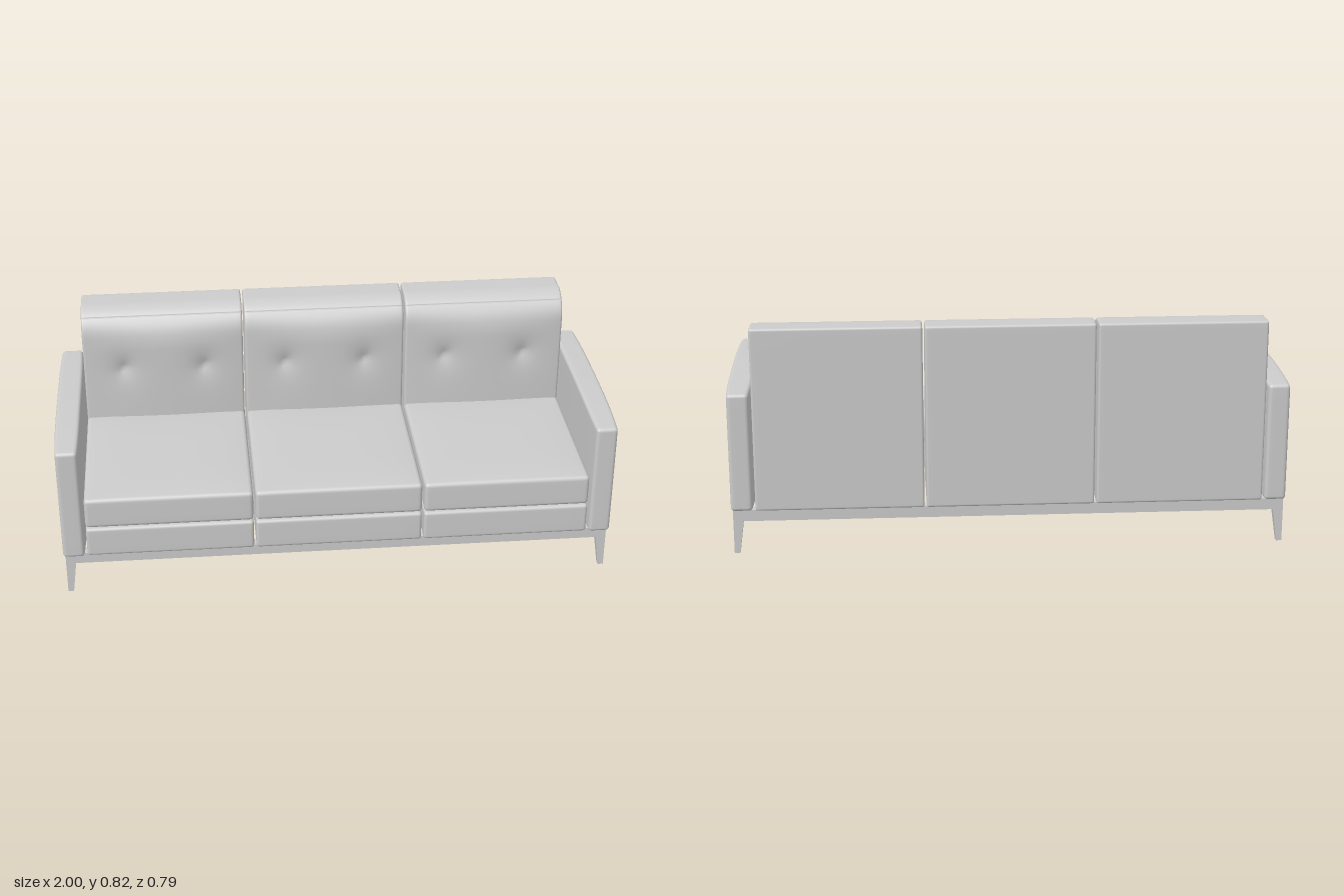
import * as THREE from 'three';
import { mergeVertices } from 'three/addons/utils/BufferGeometryUtils.js';

const material = new THREE.MeshStandardMaterial({ color: 0xcccccc });
const { clamp, smoothstep } = THREE.MathUtils;

// Upholstered block between two corners: small rounded edges, dense skin, optional reshaping rule
function softBox(min, max, r, segments, reshape) {
  const lo = new THREE.Vector3(...min), hi = new THREE.Vector3(...max);
  const half = hi.clone().sub(lo).multiplyScalar(0.5);
  const mid = lo.clone().add(hi).multiplyScalar(0.5);
  const inner = half.clone().subScalar(r);
  const k = 3; // segments inside each rounded edge
  let geo = new THREE.BoxGeometry(1, 1, 1, ...segments);
  const pos = geo.attributes.position;
  const p = new THREE.Vector3(), core = new THREE.Vector3();
  for (let i = 0; i < pos.count; i++) {
    p.fromBufferAttribute(pos, i);
    ['x', 'y', 'z'].forEach((a, j) => {
      const n = segments[j], s = Math.round((p[a] + 0.5) * n);
      if (s <= k) p[a] = -half[a] + (r * s) / k;
      else if (s >= n - k) p[a] = half[a] - (r * (n - s)) / k;
      else p[a] = -inner[a] + (2 * inner[a] * (s - k)) / (n - 2 * k);
    });
    core.copy(p).clamp(inner.clone().negate(), inner);
    p.sub(core).setLength(r).add(core).add(mid);
    if (reshape) reshape(p, mid, half);
    pos.setXYZ(i, p.x, p.y, p.z);
  }
  geo.deleteAttribute('uv');
  geo.deleteAttribute('normal');
  geo = mergeVertices(geo, 1e-5);
  geo.computeVertexNormals();
  return geo;
}

// Back cushion: large round on the front top edge, full middle, two buttoned dimples
function shapeBack(p, mid, half) {
  const R = 0.095, top = mid.y + half.y, front = mid.z + half.z;
  const f = clamp((p.z - (mid.z - half.z)) / (2 * half.z), 0, 1) ** 3;
  const x = p.x - mid.x;
  let puff = 0.016 * (1 - (x / half.x) ** 2) * (1 - smoothstep(p.y, 0.68, 0.8));
  for (const s of [-1, 1]) {
    const d = Math.hypot(x - s * 0.15, (p.y - 0.595) * 0.9);
    puff -= 0.026 * Math.exp(-d / 0.035);
  }
  const dy = p.y - (top - R), dz = p.z - (front - R);
  if (dy > 0 && dz > 0) {
    const q = Math.max(dy, dz) / Math.hypot(dy, dz);
    p.y = top - R + dy * q;
    p.z = front - R + dz * q;
  }
  p.z += puff * f;
}

// Seat cushion: gently crowned top
function shapeSeat(p, mid, half) {
  const u = (p.x - mid.x) / half.x, v = (p.z - mid.z) / half.z;
  if (p.y > mid.y) p.y += 0.009 * (1 - u ** 4) * (1 - v ** 4);
}

// Arm: crowned top line and slightly swollen sides
function shapeArm(p, mid, half) {
  const v = clamp((p.z - mid.z) / half.z, -1, 1);
  const h = clamp((p.y - (mid.y - half.y)) / (2 * half.y), 0, 1);
  const shift = v - 0.2;
  p.y += h * (0.012 * (1 - (shift > 0 ? (shift / 0.8) ** 2 : (shift / 1.2) ** 2)));
  p.x += Math.sign(p.x - mid.x) * 0.006 * (1 - v ** 4);
}

export function createModel() {
  const sofa = new THREE.Group();
  sofa.name = 'sofa';
  const add = (name, geo, parent = sofa) => {
    const mesh = new THREE.Mesh(geo, material);
    mesh.name = name;
    parent.add(mesh);
    return mesh;
  };

  // Three equal seat sections
  ['right', 'middle', 'left'].forEach((side, i) => {
    const section = new THREE.Group();
    section.name = side + 'Section';
    sofa.add(section);
    const x0 = (i - 1) * 0.608 - 0.3, x1 = x0 + 0.6;
    add('seatBase', softBox([x0, 0.16, -0.22], [x1, 0.273, 0.39], 0.012, [12, 10, 12]), section);
    add('seatCushion', softBox([x0, 0.277, -0.22], [x1, 0.393, 0.39], 0.015, [24, 10, 24], shapeSeat), section);
    add('backCushion', softBox([x0, 0.16, -0.395], [x1, 0.825, -0.217], 0.009, [44, 44, 20], shapeBack), section);
  });

  // Arms
  for (const s of [-1, 1]) {
    const c = s * 0.956, w = 0.038;
    add(s > 0 ? 'leftArm' : 'rightArm',
      softBox([c - w, 0.16, -0.395], [c + w, 0.591, 0.395], 0.013, [10, 16, 28], shapeArm));
  }

  // Open base frame
  const X = 0.988, front = 0.372, back = -0.386, t = 0.036;
  const rect = (Type, x, z0, z1) => new Type([
    new THREE.Vector2(-x, -z1), new THREE.Vector2(x, -z1),
    new THREE.Vector2(x, -z0), new THREE.Vector2(-x, -z0),
  ]);
  const ring = rect(THREE.Shape, X, back, front);
  ring.holes.push(rect(THREE.Path, X - t, back + t, front - t));
  const frame = new THREE.ExtrudeGeometry(ring, { depth: 0.042, bevelEnabled: false });
  frame.rotateX(-Math.PI / 2);
  add('baseFrame', frame).position.y = 0.121;

  // Legs: outer faces upright, inner faces tapering to the foot
  for (const sx of [-1, 1]) for (const sz of [-1, 1]) {
    const geo = new THREE.BoxGeometry(t, 0.122, t);
    const pos = geo.attributes.position;
    for (let i = 0; i < pos.count; i++) {
      if (pos.getY(i) > 0) continue;
      if (pos.getX(i) * sx < 0) pos.setX(i, sx * (t / 2 - 0.02));
      if (pos.getZ(i) * sz < 0) pos.setZ(i, sz * (t / 2 - 0.021));
    }
    geo.computeVertexNormals();
    const leg = add((sz > 0 ? 'front' : 'back') + (sx > 0 ? 'Left' : 'Right') + 'Leg', geo);
    leg.position.set(sx * (X - t / 2), 0.061, sz > 0 ? front - t / 2 : back + t / 2);
  }
  return sofa;
}
